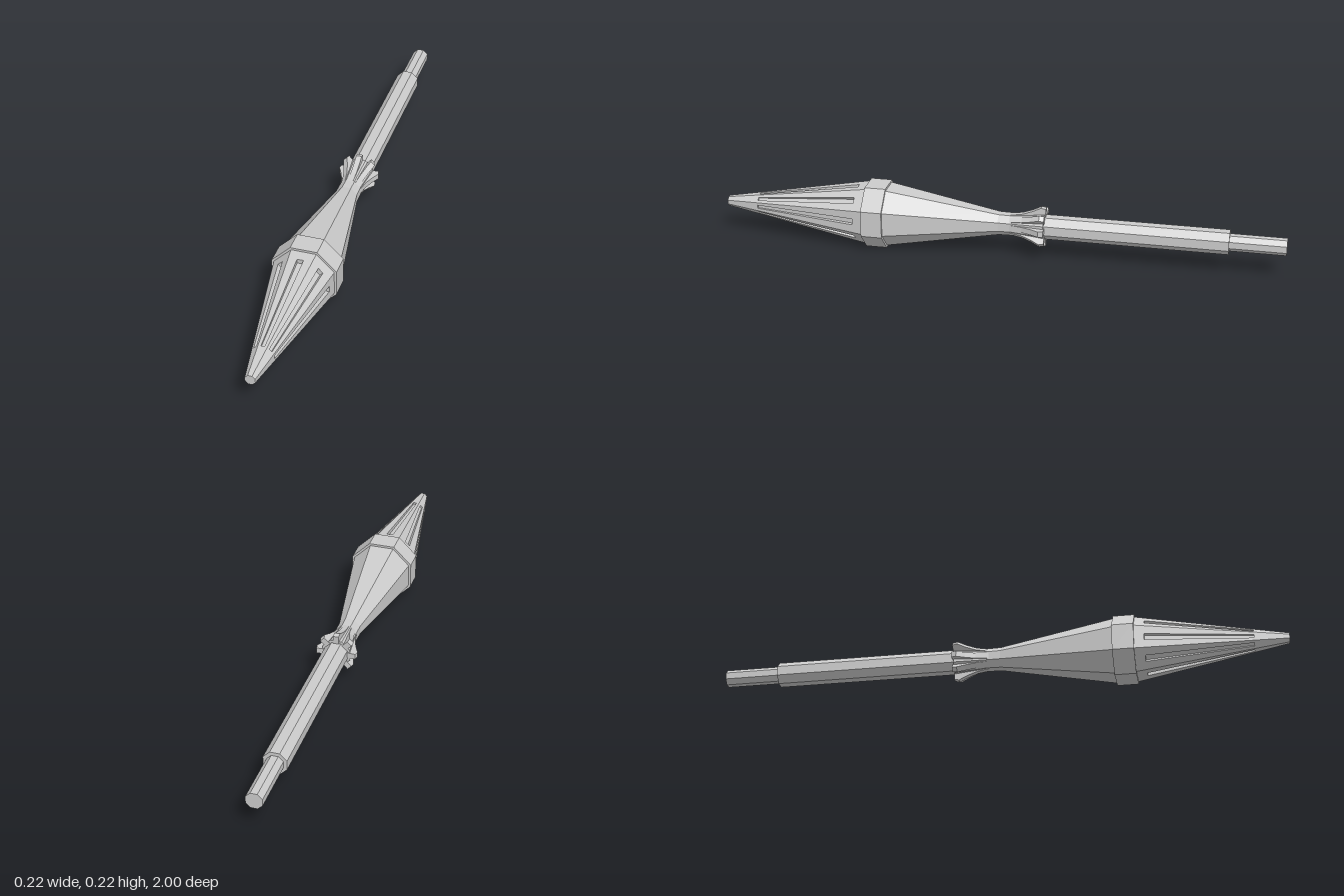
import * as THREE from 'three';

const SIDES = 8;
const HALF = Math.PI / SIDES;
const AXIS_Y = 0.112;
const TIP = { z: 1, r: 0.017 };
const BASE = { z: 0.475, r: 0.104 };

const material = new THREE.MeshStandardMaterial({ color: 0xcccccc, flatShading: true });

// Octagonal solid along z from [z, distance to flat] pairs, listed back to front
function octagon(name, profile) {
  const points = profile.map(([z, r]) => new THREE.Vector2(r / Math.cos(HALF), z));
  const geometry = new THREE.LatheGeometry(points, SIDES, HALF);
  geometry.rotateX(Math.PI / 2);
  const mesh = new THREE.Mesh(geometry, material);
  mesh.name = name;
  return mesh;
}

// Eight copies of one geometry around the z axis
function ringOf(name, partName, geometry) {
  const group = new THREE.Group();
  group.name = name;
  for (let i = 0; i < SIDES; i++) {
    const mesh = new THREE.Mesh(geometry, material);
    mesh.name = partName;
    mesh.rotation.z = i * 2 * HALF;
    group.add(mesh);
  }
  return group;
}

// One flat side of the nose cone with a tapered groove sunk into it
function groovedPanel() {
  const coneR = (z) => THREE.MathUtils.mapLinear(z, BASE.z, TIP.z, BASE.r, TIP.r);
  const corners = (zFront, wFront, rFront, zBack, wBack, rBack) => [
    [-wFront, rFront, zFront], [wFront, rFront, zFront],
    [wBack, rBack, zBack], [-wBack, rBack, zBack],
  ];
  const t = Math.tan(HALF);
  const front = 0.88, back = 0.51;
  const outer = corners(TIP.z, TIP.r * t, TIP.r, BASE.z, BASE.r * t, BASE.r);
  const hole = corners(front, 0.006, coneR(front), back, 0.011, coneR(back));
  const floor = corners(front, 0.006, coneR(front) - 0.007, back, 0.011, coneR(back) - 0.015);

  const positions = [];
  const quad = (a, b, c, d) => positions.push(...a, ...b, ...c, ...a, ...c, ...d);
  for (let i = 0; i < 4; i++) {
    const j = (i + 1) % 4;
    quad(outer[i], outer[j], hole[j], hole[i]); // surface around the groove
    quad(hole[i], hole[j], floor[j], floor[i]); // groove wall
  }
  quad(...floor);
  const geometry = new THREE.BufferGeometry();
  geometry.setAttribute('position', new THREE.Float32BufferAttribute(positions, 3));
  geometry.computeVertexNormals();
  return geometry;
}

// Thin fin with a concave flared top edge
function finGeometry() {
  const width = 0.02;
  const shape = new THREE.Shape([
    [-0.165, 0.03], [-0.04, 0.03], [-0.04, 0.037], [-0.085, 0.045],
    [-0.12, 0.058], [-0.15, 0.073], [-0.167, 0.069],
  ].map(([z, r]) => new THREE.Vector2(z, r)));
  const geometry = new THREE.ExtrudeGeometry(shape, { depth: width, bevelEnabled: false });
  geometry.translate(0, 0, -width / 2);
  geometry.rotateY(-Math.PI / 2);
  return geometry;
}

export function createModel() {
  const model = new THREE.Group();
  model.name = 'finnedProjectile';
  const body = new THREE.Group();
  body.name = 'body';
  body.position.y = AXIS_Y;
  model.add(body);

  // Nose
  body.add(ringOf('noseCone', 'groovedPanel', groovedPanel()));
  body.add(octagon('noseCap', [[TIP.z, TIP.r], [TIP.z, 0]]));

  // Widest band, with a small step on both sides
  body.add(octagon('band', [[0.4, 0.1], [0.4, 0.112], [BASE.z, 0.112], [BASE.z, 0.1]]));

  // Rear taper, waist and flared collar
  body.add(octagon('rearTaper', [
    [-0.163, 0.03], [-0.163, 0.049], [-0.12, 0.044], [-0.05, 0.037], [0, 0.038], [0.4, 0.104],
  ]));
  body.add(ringOf('fins', 'fin', finGeometry()));

  // Shaft and thinner tail
  body.add(octagon('shaft', [[-0.805, 0], [-0.805, 0.04], [-0.15, 0.04]]));
  body.add(octagon('tail', [[-1, 0], [-1, 0.028], [-0.8, 0.028]]));

  return model;
}
